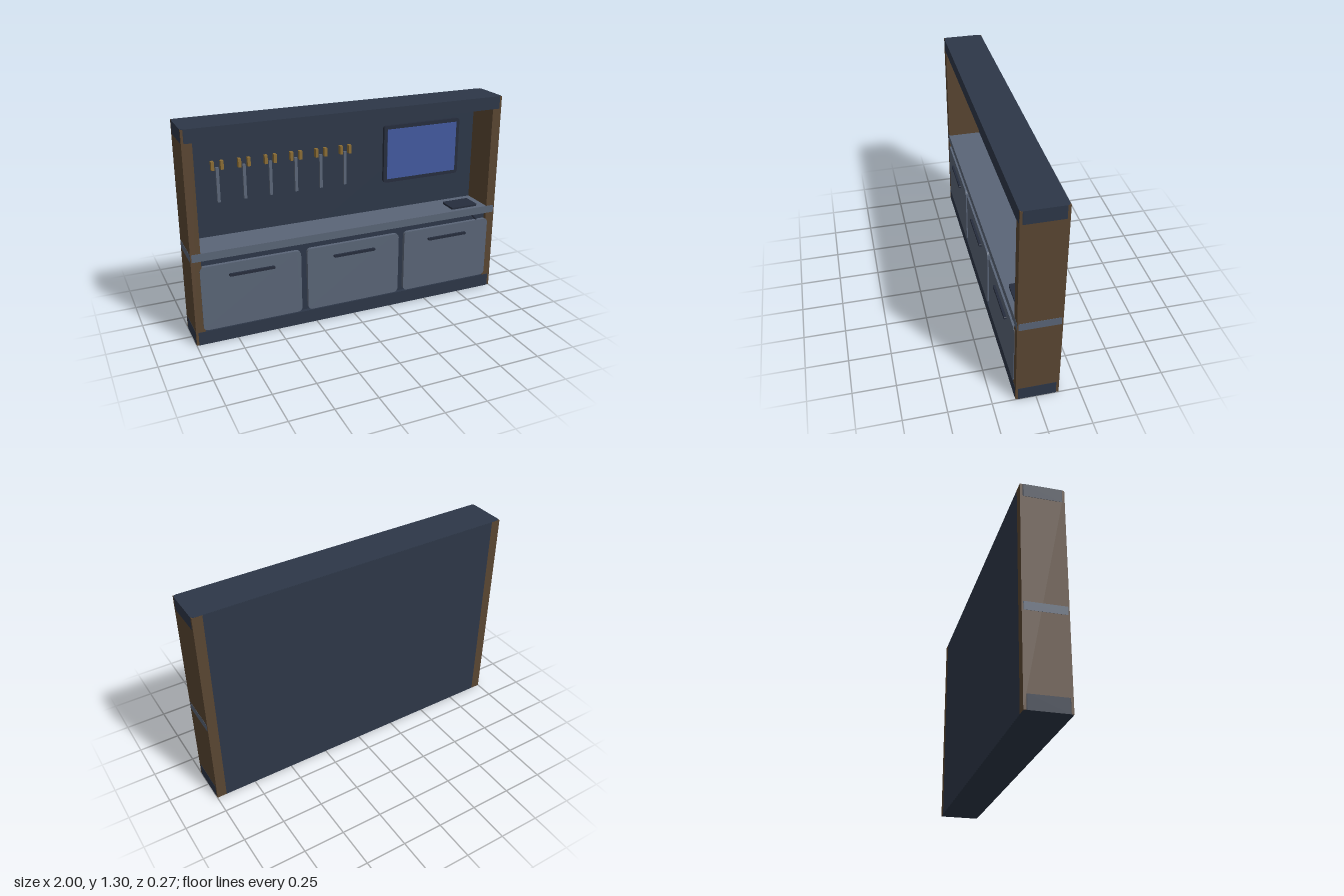
import * as THREE from 'three';

const material = (name, color) => {
  const m = new THREE.MeshStandardMaterial({ color });
  m.name = name;
  return m;
};

// Rounded rectangle outline centred on the origin
function roundedRect(w, h, r) {
  const s = new THREE.Shape();
  const x = w / 2, y = h / 2;
  s.moveTo(-x + r, -y);
  s.lineTo(x - r, -y);
  s.absarc(x - r, -y + r, r, -Math.PI / 2, 0);
  s.lineTo(x, y - r);
  s.absarc(x - r, y - r, r, 0, Math.PI / 2);
  s.lineTo(-x + r, y);
  s.absarc(-x + r, y - r, r, Math.PI / 2, Math.PI);
  s.lineTo(-x, -y + r);
  s.absarc(-x + r, -y + r, r, Math.PI, Math.PI * 1.5);
  return s;
}

export function createModel() {
  const model = new THREE.Group();
  model.name = 'workbenchWall';

  const navy = material('navy', 0x2d3748);
  const dark = material('darkNavy', 0x262d3d);
  const grey = material('steelGrey', 0x5a6577);
  const brown = material('woodBrown', 0x5a4632);
  const gold = material('brass', 0x8b6d35);
  const blue = material('screenBlue', 0x4259a0);

  const add = (name, geometry, mat) => {
    const mesh = new THREE.Mesh(geometry, mat);
    mesh.name = name;
    model.add(mesh);
    return mesh;
  };
  // Box from its lower and upper limits
  const box = (name, mat, [x0, x1], [y0, y1], [z0, z1]) => {
    const g = new THREE.BoxGeometry(x1 - x0, y1 - y0, z1 - z0);
    g.translate((x0 + x1) / 2, (y0 + y1) / 2, (z0 + z1) / 2);
    return add(name, g, mat);
  };
  // Upright plate with rounded corners, facing +z
  const plate = (name, mat, [x0, x1], [y0, y1], [z0, z1], r) => {
    const g = new THREE.ExtrudeGeometry(roundedRect(x1 - x0, y1 - y0, r),
      { depth: z1 - z0, bevelEnabled: false, curveSegments: 5 });
    g.translate((x0 + x1) / 2, (y0 + y1) / 2, z0);
    return add(name, g, mat);
  };
  // Lying slab with rounded vertical edges
  const slab = (name, mat, [x0, x1], [y0, y1], [z0, z1], r) => {
    const g = new THREE.ExtrudeGeometry(roundedRect(x1 - x0, z1 - z0, r),
      { depth: y1 - y0, bevelEnabled: false, curveSegments: 5 });
    g.rotateX(-Math.PI / 2);
    g.translate((x0 + x1) / 2, y0, (z0 + z1) / 2);
    return add(name, g, mat);
  };

  // Carcass: sides, back, plinth, header and worktop
  const back = -0.132, front = 0.117;
  box('leftSide', brown, [0.94, 0.999], [0.001, 1.296], [back, front]);
  box('rightSide', brown, [-0.999, -0.94], [0.001, 1.296], [back, front]);
  box('backPanel', navy, [-0.94, 0.94], [0.002, 1.295], [back, -0.1]);
  slab('plinth', navy, [-1, 1], [0, 0.083], [-0.131, front + 0.001], 0.021);
  slab('header', navy, [-1, 1], [1.218, 1.297], [-0.131, front + 0.001], 0.021);
  slab('worktop', grey, [-1, 1], [0.53, 0.578], [-0.131, front + 0.001], 0.012);
  box('cabinetBody', navy, [-0.94, 0.94], [0.083, 0.53], [-0.1, 0.095]);

  // Three cupboard doors with bar handles
  for (const x of [-0.648, 0, 0.648]) {
    plate('door', grey, [x - 0.304, x + 0.304], [0.09, 0.492], [0.098, 0.12], 0.026);
    plate('doorHandle', dark, [x - 0.137, x + 0.137], [0.412, 0.428], [0.12, 0.134], 0.006);
  }

  // Hanging tools held by pairs of brass hooks
  for (let i = 0; i < 6; i++) {
    const x = -0.766 + i * 0.159;
    box('toolShaft', grey, [x - 0.009, x + 0.009], [0.79, 1.0], [-0.098, -0.082]);
    for (const side of [-1, 1]) {
      const c = x + side * 0.028;
      box('toolHook', gold, [c - 0.009, c + 0.009], [0.988, 1.04], [-0.1, -0.072]);
    }
  }

  // Wall monitor
  plate('monitorFrame', dark, [0.29, 0.825], [0.762, 1.13], [-0.1, -0.08], 0.02);
  box('monitorScreen', blue, [0.313, 0.802], [0.785, 1.107], [-0.082, -0.077]);

  // Flat device on the worktop with its cable
  slab('device', dark, [0.7, 0.885], [0.578, 0.59], [-0.035, 0.09], 0.01);
  const cable = new THREE.CatmullRomCurve3([
    new THREE.Vector3(0.79, 0.575, 0.06),
    new THREE.Vector3(0.835, 0.535, 0.1),
    new THREE.Vector3(0.875, 0.49, 0.104),
    new THREE.Vector3(0.91, 0.43, 0.104),
  ]);
  add('cable', new THREE.TubeGeometry(cable, 12, 0.006, 6), dark);

  return model;
}
